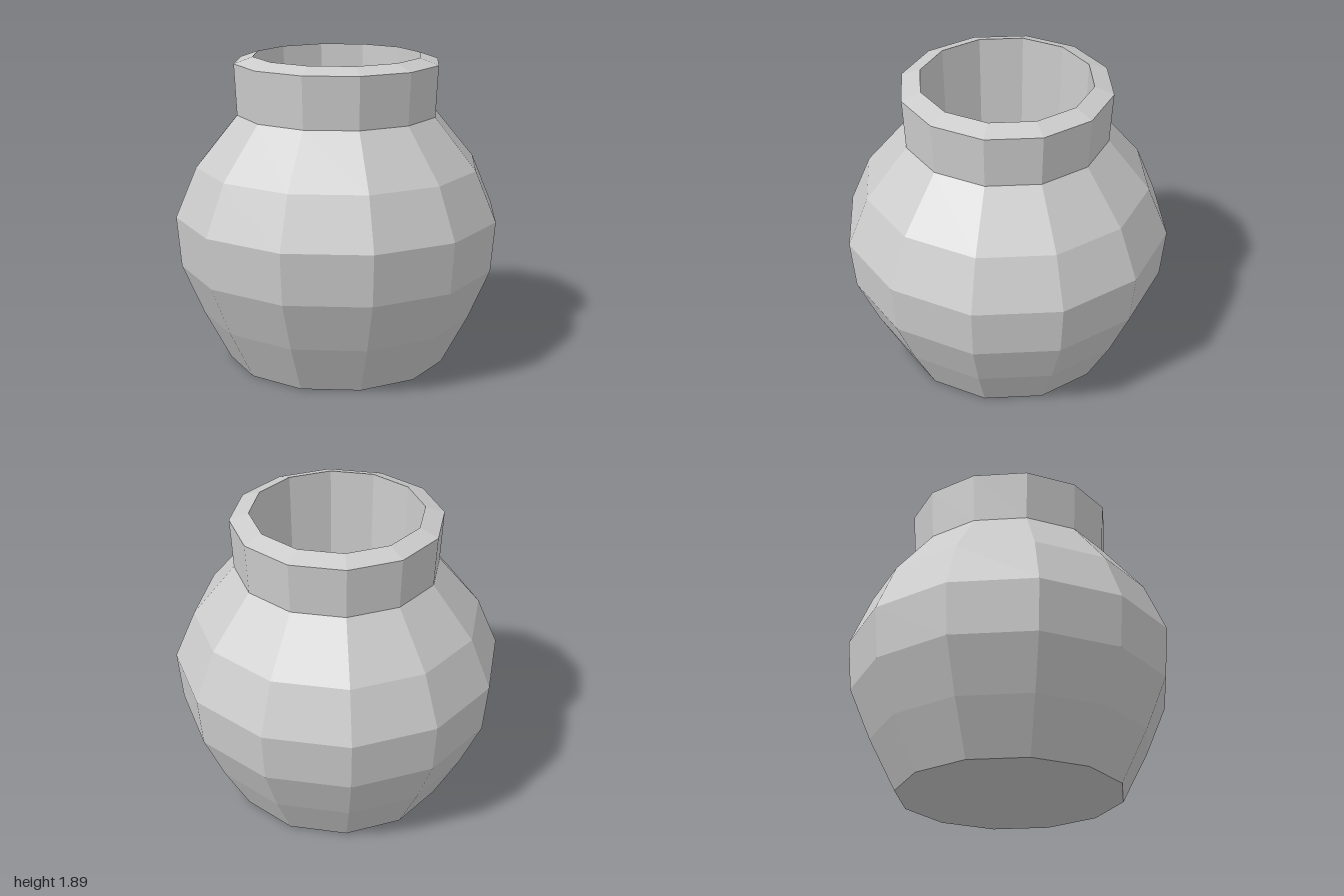
import * as THREE from 'three';

const SIDES = 12;

// Faceted ring surface from [radius, height] pairs
function turned(name, profile, material) {
  const points = profile.map(([r, y]) => new THREE.Vector2(r, y));
  const mesh = new THREE.Mesh(new THREE.LatheGeometry(points, SIDES), material);
  mesh.name = name;
  return mesh;
}

export function createModel() {
  const clay = new THREE.MeshStandardMaterial({ color: 0xcccccc, flatShading: true });
  const pot = new THREE.Group();
  pot.name = 'pot';

  // Flat base and bulging body
  pot.add(turned('body', [
    [0, 0], [0.685, 0], [0.845, 0.31], [0.975, 0.62],
    [1, 0.93], [0.87, 1.235], [0.615, 1.545],
  ], clay));

  // Slightly flared neck with a bevelled lip
  pot.add(turned('neck', [[0.615, 1.545], [0.63, 1.855], [0.515, 1.895]], clay));

  // Tapered inner wall and floor of the hollow
  pot.add(turned('hollow', [[0.515, 1.895], [0.49, 1.0], [0, 1.0]], clay));

  return pot;
}
